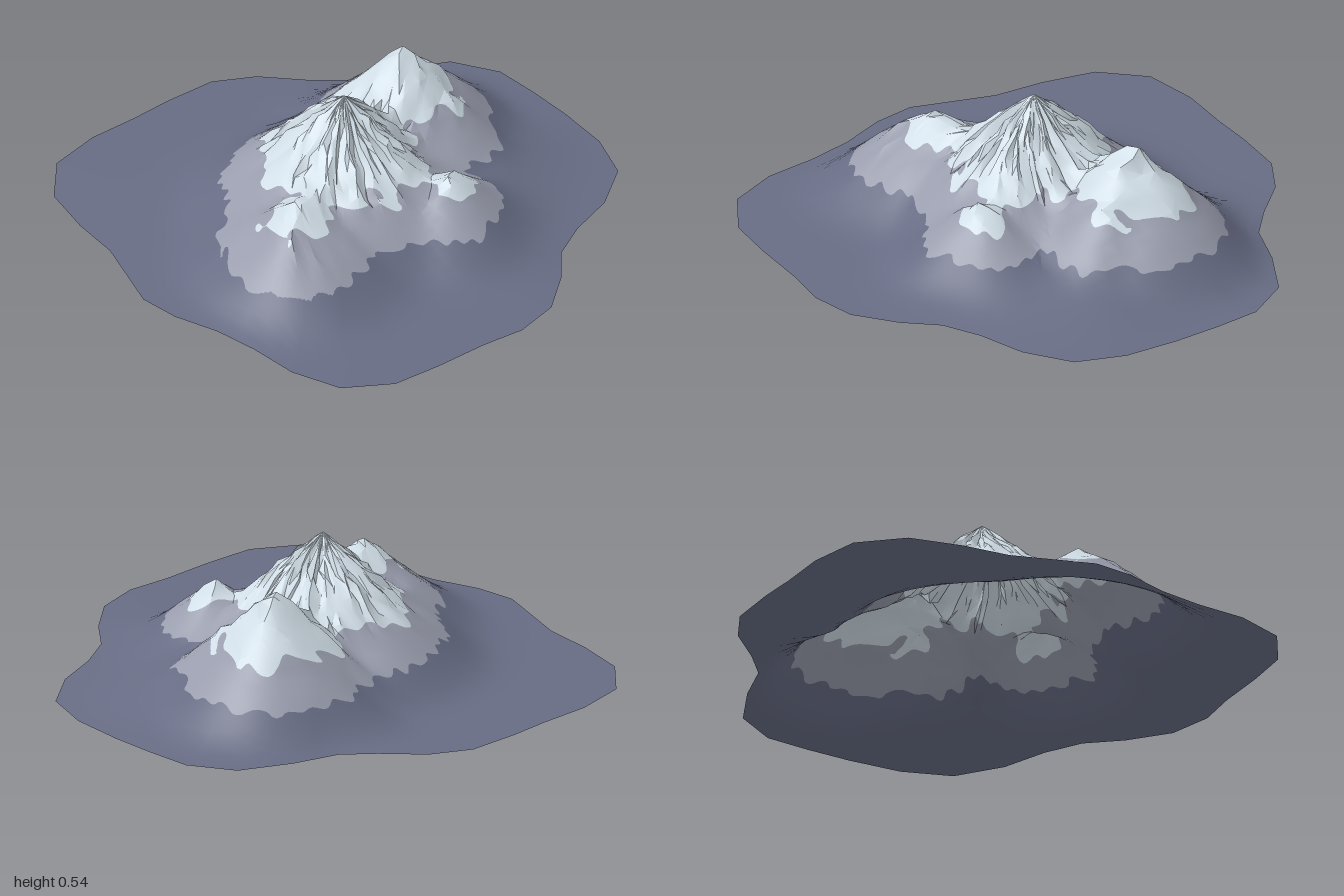
import * as THREE from 'three';
import { toCreasedNormals } from 'three/addons/utils/BufferGeometryUtils.js';

// Ground outline, counter-clockwise from above (x, z)
const OUTLINE = [
  [0.2, -0.92], [0, -0.955], [-0.16, -0.97], [-0.36, -1], [-0.57, -0.985], [-0.73, -0.85],
  [-0.8, -0.65], [-0.84, -0.46], [-0.98, -0.16], [-0.98, 0], [-0.94, 0.18], [-0.93, 0.36],
  [-0.94, 0.56], [-0.89, 0.76], [-0.73, 0.89], [-0.54, 0.93], [-0.33, 0.96], [-0.16, 1],
  [0.02, 0.98], [0.18, 0.88], [0.3, 0.77], [0.45, 0.71], [0.64, 0.67], [0.82, 0.57],
  [0.91, 0.39], [0.95, 0.18], [0.97, 0], [0.98, -0.18], [0.9, -0.36], [0.72, -0.48],
  [0.55, -0.56], [0.45, -0.67], [0.34, -0.82],
];
const SUMMIT = [-0.07, 0.01];

// Ridges: start x, z, height; end x, z, height; slope
const RIDGES = [
  [-0.07, 0.01, 0.525, -0.07, 0.01, 0.525, 0.9],
  [0.36, -0.1, 0.48, 0.41, -0.13, 0.435, 0.95],
  [-0.48, 0.15, 0.335, -0.6, 0.21, 0.27, 0.84],
  [-0.47, 0.15, 0.315, -0.2, 0.05, 0.3, 0.78],
  [0.1, 0.39, 0.29, 0.07, 0.41, 0.28, 0.82],
  [-0.56, 0, 0.19, -0.38, -0.13, 0.19, 0.75],
  [-0.56, 0.31, 0.21, -0.4, 0.32, 0.2, 0.8],
  [0.18, 0.48, 0.09, 0.55, 0.22, 0.09, 0.32],
];

// Hollows between the peaks: x, z, radius, depth
const HOLLOWS = [[0.17, 0.17, 0.12, 0.045], [0.1, -0.28, 0.09, 0.035], [-0.28, -0.2, 0.1, 0.03]];

// Local shifts of the snow line: x, z, radius, rise
const SNOW_SHIFTS = [
  [0.1, 0.39, 0.11, -0.04], [0.3, 0.13, 0.13, 0.045], [-0.05, 0.29, 0.09, 0.03], [0.5, -0.25, 0.16, 0.02],
];

const smooth = THREE.MathUtils.smoothstep;
const bump = (x, z, r) => Math.exp(-(x * x + z * z) / (r * r));
const bumps = (list, x, z) => list.reduce((s, [cx, cz, r, amount]) => s + amount * bump(x - cx, z - cz, r), 0);

// Small repeatable noise in -1..1
function hash(i, j) {
  const s = Math.sin(i * 127.1 + j * 311.7) * 43758.5453;
  return (s - Math.floor(s)) * 2 - 1;
}

// Height of the nearest ridge, blended where slopes meet
function slopeHeight(x, z) {
  let sum = 0;
  for (const [ax, az, ah, bx, bz, bh, slope] of RIDGES) {
    const dx = bx - ax, dz = bz - az;
    const k = THREE.MathUtils.clamp(((x - ax) * dx + (z - az) * dz) / (dx * dx + dz * dz || 1), 0, 1);
    const d = Math.hypot(x - ax - k * dx, z - az - k * dz);
    sum += Math.exp((ah + (bh - ah) * k - slope * d) / 0.016);
  }
  const h = 0.016 * Math.log(sum) - bumps(HOLLOWS, x, z);
  return 0.035 * Math.log(1 + Math.exp(h / 0.035));
}

// Vertex on spoke j at fraction t from the summit to the outline
function terrainPoint(ex, ez, t, i, j) {
  let x = SUMMIT[0] + (ex - SUMMIT[0]) * t, z = SUMMIT[1] + (ez - SUMMIT[1]) * t;
  const d = Math.hypot(x - SUMMIT[0], z - SUMMIT[1]);
  let h = slopeHeight(x, z);
  const rough = smooth(h, 0.17, 0.28) * Math.min(1, d / 0.1);
  const angle = Math.atan2(ez - SUMMIT[1], ex - SUMMIT[0]);
  x += hash(i, j) * 0.01 * rough;
  z += hash(i + 50, j) * 0.01 * rough;
  // broad and narrow gullies around the summit, then small crags
  const flute = Math.cos(angle * 11 + 2 * Math.sin(angle * 3)) * 0.014 + hash(j, 7) * 0.014;
  h += rough * (flute * (1 - smooth(d, 0.2, 0.45)) + hash(i + 9, j + 3) * 0.009 - 0.006);
  return [x, Math.max(0, h * (1 - t ** 7) + 0.013 * (1 - t ** 2)), z];
}

function terrainGeometry() {
  const spokes = [];
  OUTLINE.forEach((a, n) => {
    const b = OUTLINE[(n + 1) % OUTLINE.length];
    spokes.push(a, [(a[0] + b[0]) / 2, (a[1] + b[1]) / 2]);
  });
  const rings = 24, count = spokes.length, pos = [];
  const grid = [];
  for (let i = 0; i <= rings; i++) {
    grid.push(spokes.map(([x, z], j) => terrainPoint(x, z, (i / rings) ** 1.05, i, j)));
  }
  for (let i = 0; i < rings; i++) {
    for (let j = 0; j < count; j++) {
      const k = (j + 1) % count;
      const a = grid[i][j], b = grid[i + 1][j], c = grid[i + 1][k], d = grid[i][k];
      pos.push(...a, ...b, ...c);
      if (i > 0) pos.push(...a, ...c, ...d);
    }
  }
  const geo = new THREE.BufferGeometry();
  geo.setAttribute('position', new THREE.Float32BufferAttribute(pos, 3));
  return toCreasedNormals(geo, 0.6);
}

// Uneven lower edges of the rock and the snow
function rockLine([x, y, z]) {
  const teeth = Math.sin(x * 58 + 5 * Math.sin(z * 9)) * Math.cos(z * 41 + 2 * Math.sin(x * 11));
  return y - 0.127 - 0.015 * teeth - 0.006 * Math.sin(x * 17 - z * 13) + 0.02 * smooth(-x, 0.45, 0.7);
}
function snowLine([x, y, z]) {
  const teeth = Math.sin(x * 42 + 3 * Math.sin(z * 8)) * Math.cos(z * 33 + 2 * Math.sin(x * 9));
  return y - 0.247 - 0.028 * teeth - 0.012 * Math.sin(x * 15 + z * 19) - bumps(SNOW_SHIFTS, x, z);
}

// Keep the side of a polygon where side * line >= 0
function clip(poly, line, side) {
  const out = [];
  poly.forEach((a, n) => {
    const b = poly[(n + 1) % poly.length];
    const fa = side * line(a), fb = side * line(b);
    if (fa >= 0) out.push(a);
    if (fa * fb < 0) out.push(a.map((v, m) => v + (b[m] - v) * (fa / (fa - fb))));
  });
  return out;
}

// Divide a triangle into four so the uneven edges stay clean
function quarter([a, b, c]) {
  const mid = (p, q) => p.map((v, m) => (v + q[m]) / 2);
  const ab = mid(a, b), bc = mid(b, c), ca = mid(c, a);
  return [[a, ab, ca], [ab, b, bc], [ca, bc, c], [ab, bc, ca]];
}

function bandMesh(name, polys, material) {
  const pos = [], nor = [];
  for (const p of polys) {
    for (let n = 1; n + 1 < p.length; n++) {
      for (const v of [p[0], p[n], p[n + 1]]) {
        pos.push(v[0], v[1], v[2]);
        nor.push(v[3], v[4], v[5]);
      }
    }
  }
  const geo = new THREE.BufferGeometry();
  geo.setAttribute('position', new THREE.Float32BufferAttribute(pos, 3));
  geo.setAttribute('normal', new THREE.Float32BufferAttribute(nor, 3));
  geo.normalizeNormals();
  const mesh = new THREE.Mesh(geo, material);
  mesh.name = name;
  return mesh;
}

function paint(name, color) {
  const m = new THREE.MeshStandardMaterial({ color, side: THREE.DoubleSide });
  m.name = name;
  return m;
}

export function createModel() {
  const group = new THREE.Group();
  group.name = 'mountainRange';
  const geo = terrainGeometry();
  const p = geo.attributes.position, n = geo.attributes.normal;
  const base = [], rock = [], snow = [];
  for (let i = 0; i < p.count; i += 3) {
    const tri = [0, 1, 2].map((k) => [
      p.getX(i + k), p.getY(i + k), p.getZ(i + k), n.getX(i + k), n.getY(i + k), n.getZ(i + k),
    ]);
    const high = Math.max(...tri.map((v) => v[1]));
    const parts = high > 0.08 ? quarter(tri).flatMap(quarter) : [tri];
    for (const t of parts) {
      base.push(clip(t, rockLine, -1));
      const upper = clip(t, rockLine, 1);
      rock.push(clip(upper, snowLine, -1));
      snow.push(clip(upper, snowLine, 1));
    }
  }
  group.add(
    bandMesh('lowerSlopes', base, paint('slate', 0x676c84)),
    bandMesh('rockBand', rock, paint('greyRock', 0x999dad)),
    bandMesh('snowCaps', snow, paint('snow', 0xd0dde6)),
  );
  return group;
}
